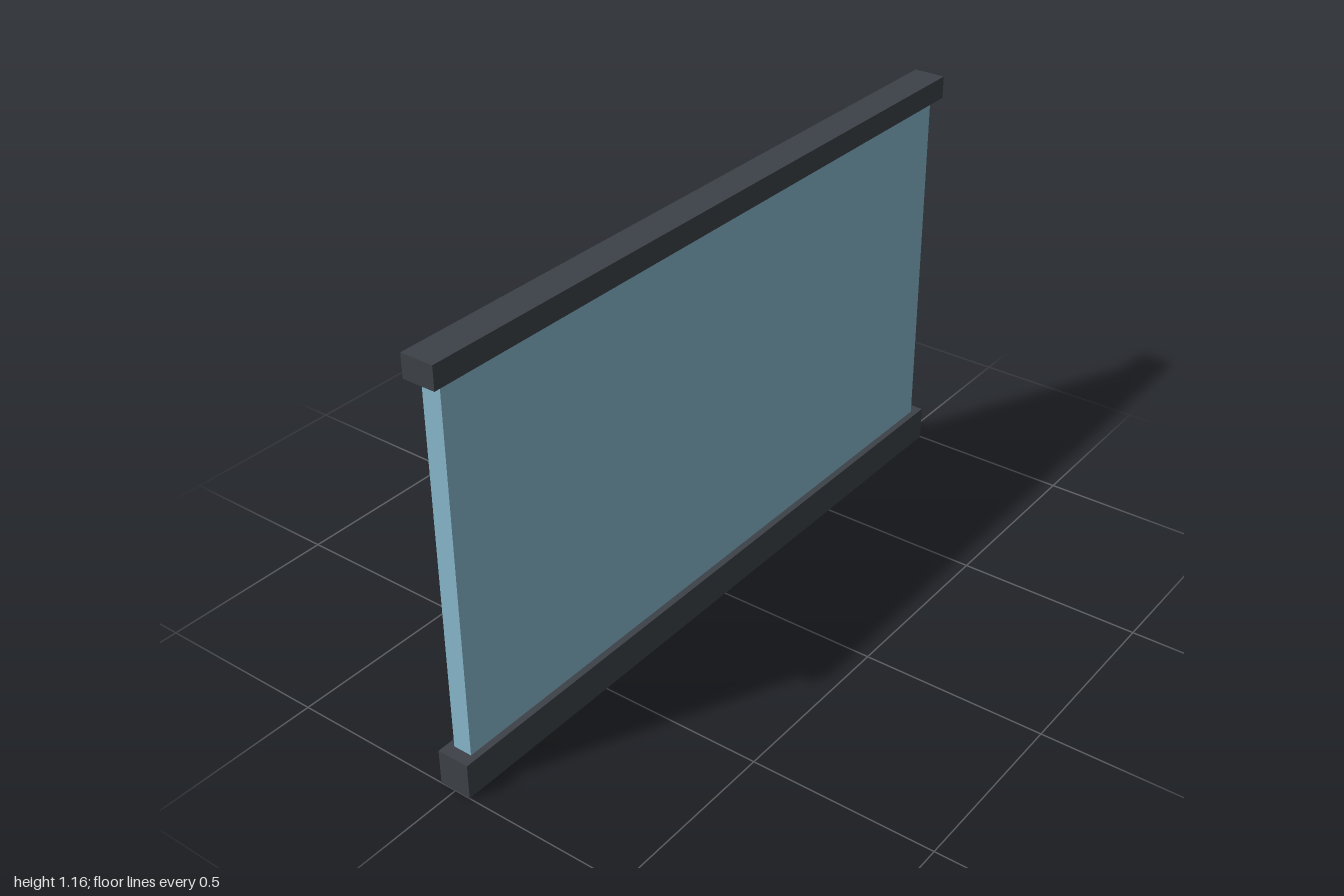
import * as THREE from 'three';

export function createModel() {
  const model = new THREE.Group();
  model.name = 'glassPanelBarrier';

  const frame = new THREE.MeshStandardMaterial({ color: 0x3d4248 });
  frame.name = 'dark metal';
  const glass = new THREE.MeshStandardMaterial({ color: 0x88b8cd });
  glass.name = 'blue glass';

  // Box centred on x and z, spanning y0 to y1
  const slab = (name, width, y0, y1, depth, material) => {
    const mesh = new THREE.Mesh(new THREE.BoxGeometry(width, y1 - y0, depth), material);
    mesh.position.y = (y0 + y1) / 2;
    mesh.name = name;
    model.add(mesh);
  };

  slab('baseRail', 2, 0, 0.098, 0.09, frame);
  slab('glassPane', 1.933, 0.098, 1.098, 0.053, glass);
  slab('topRail', 2, 1.098, 1.16, 0.09, frame);

  return model;
}
